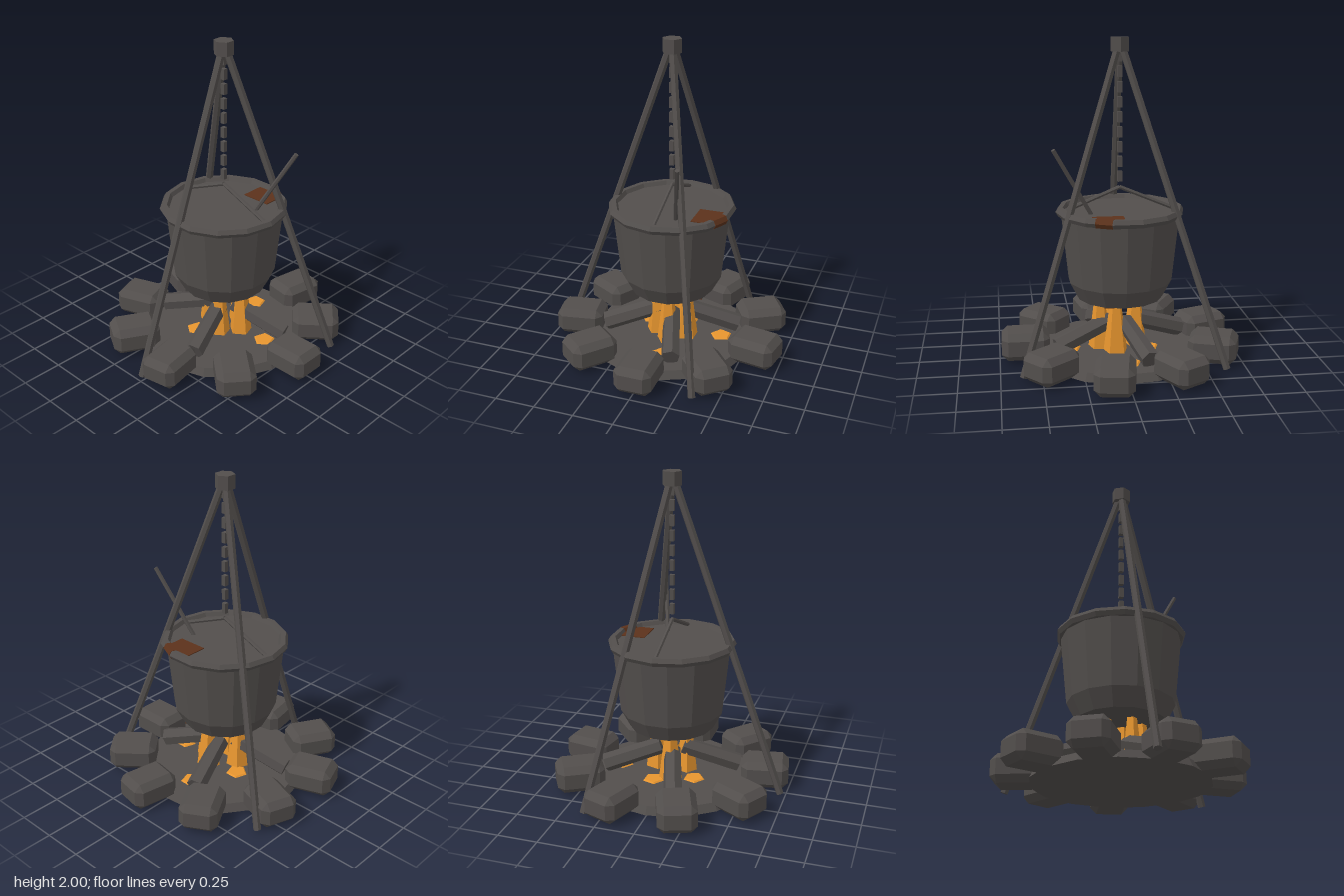
import * as THREE from 'three';
import { ConvexGeometry } from 'three/addons/geometries/ConvexGeometry.js';

const V = (x, y, z) => new THREE.Vector3(x, y, z);
const polar = (r, deg, y) => V(r * Math.cos(deg * Math.PI / 180), y, r * Math.sin(deg * Math.PI / 180));

function makeMaterial(name, color) {
  const m = new THREE.MeshStandardMaterial({ color, flatShading: true });
  m.name = name;
  return m;
}

// Box with every edge and corner cut flat
function chamferedBox(w, h, d, c) {
  const pts = [];
  for (const sx of [-1, 1]) for (const sy of [-1, 1]) for (const sz of [-1, 1]) {
    const [x, y, z] = [w / 2, h / 2, d / 2];
    pts.push(V(sx * x, sy * (y - c), sz * (z - c)));
    pts.push(V(sx * (x - c), sy * y, sz * (z - c)));
    pts.push(V(sx * (x - c), sy * (y - c), sz * z));
  }
  return new ConvexGeometry(pts);
}

export function createModel() {
  const root = new THREE.Group();
  root.name = 'campfireCauldron';
  const model = new THREE.Group();
  model.name = 'campfire';
  model.position.x = -0.012;
  root.add(model);

  const soot = makeMaterial('sootGrey', 0x524e4c);
  const flame = makeMaterial('flameOrange', 0xe8962f);
  const rust = makeMaterial('rustBrown', 0x5c321b);

  const add = (name, geometry, material, pos) => {
    const mesh = new THREE.Mesh(geometry, material);
    mesh.name = name;
    if (pos) mesh.position.copy(pos);
    model.add(mesh);
    return mesh;
  };
  // Straight bar between two points
  const bar = (name, a, b, rA, rB, sides, material = soot) => {
    const mesh = add(name, new THREE.CylinderGeometry(rB, rA, a.distanceTo(b), sides), material,
      a.clone().add(b).multiplyScalar(0.5));
    mesh.quaternion.setFromUnitVectors(V(0, 1, 0), b.clone().sub(a).normalize());
    return mesh;
  };

  // Ash bed and ring of stones
  add('ashBed', new THREE.CylinderGeometry(0.51, 0.535, 0.05, 15), soot, V(0, 0.038, 0)).rotation.y = -Math.PI / 2;
  const stone = chamferedBox(0.3, 0.176, 0.24, 0.04);
  for (let i = 0; i < 9; i++) {
    add('stone', stone, soot, polar(0.6, i * 40, 0.101)).rotation.y = -i * 40 * Math.PI / 180;
  }

  // Logs leaning inward
  for (let i = 0; i < 4; i++) {
    const a = 72 + i * 90;
    bar('log', polar(0.43, a, 0.11), polar(0.07, a, 0.235), 0.06, 0.055, 6);
  }

  // Flames rising to the pot, and embers on the ash
  for (const [x, z, s] of [[-0.1, 0.02, 1], [0.04, 0.085, 0.9], [0.13, -0.02, 0.95], [0.04, -0.11, 1]]) {
    add('flame', new THREE.ConeGeometry(0.078 * s, 0.6, 5), flame, V(x, 0.36, z));
  }
  for (const [x, z] of [[0.32, -0.04], [-0.17, -0.07], [-0.02, -0.33], [-0.08, 0.17]]) {
    add('ember', new THREE.CylinderGeometry(0.06, 0.07, 0.008, 5), flame, V(x, 0.067, z));
  }

  // Pot with its filled top
  const profile = [[0, 0.39], [0.268, 0.39], [0.326, 0.5], [0.371, 0.93], [0.35, 0.942], [0, 0.942]]
    .map(([r, y]) => new THREE.Vector2(r, y));
  add('pot', new THREE.LatheGeometry(profile, 14), soot);
  add('potRim', new THREE.TorusGeometry(0.37, 0.03, 6, 14), soot, V(0, 0.94, 0)).rotation.x = Math.PI / 2;

  // Rust patches on the top, rim and underside
  add('rustTop', new THREE.BoxGeometry(0.19, 0.006, 0.16), rust, V(0.097, 0.944, -0.265));
  add('rustUnderside', new THREE.BoxGeometry(0.12, 0.006, 0.05), rust, V(0.065, 0.388, -0.215));
  const p0 = polar(0.37, -77.14, 0.94);
  const p1 = p0.clone().lerp(polar(0.37, -51.43, 0.94), 0.65);
  const along = p1.clone().sub(p0).normalize();
  const out = V(-along.z, 0, along.x).multiplyScalar(-1);
  const rimPatch = bar('rustRim', p0, p1, 0.032, 0.032, 6, rust);
  rimPatch.quaternion.setFromRotationMatrix(
    new THREE.Matrix4().makeBasis(along.clone().cross(out), along, out));

  // Pot handle and stirring stick
  for (const s of [-1, 1]) bar('potHandle', V(s * 0.338, 0.945, 0), V(0, 1.087, 0), 0.013, 0.013, 6);
  bar('stirringStick', V(0.182, 0.93, -0.086), V(0.42, 1.355, -0.178), 0.014, 0.014, 6);

  // Chain
  const link = new THREE.BoxGeometry(0.028, 0.066, 0.028);
  for (let i = 0; i < 9; i++) add('chainLink', link, soot, V(0, 1.887 - i * 0.0915, 0));

  // Tripod
  for (let i = 0; i < 3; i++) {
    const a = 91.2 + i * 120;
    bar('tripodLeg', polar(0.715, a, 0.01), polar(0.012, a, 1.95), 0.024, 0.024, 6);
  }
  add('tripodCap', new THREE.CylinderGeometry(0.06, 0.06, 0.085, 6), soot, V(0, 1.9575, 0));

  return root;
}
